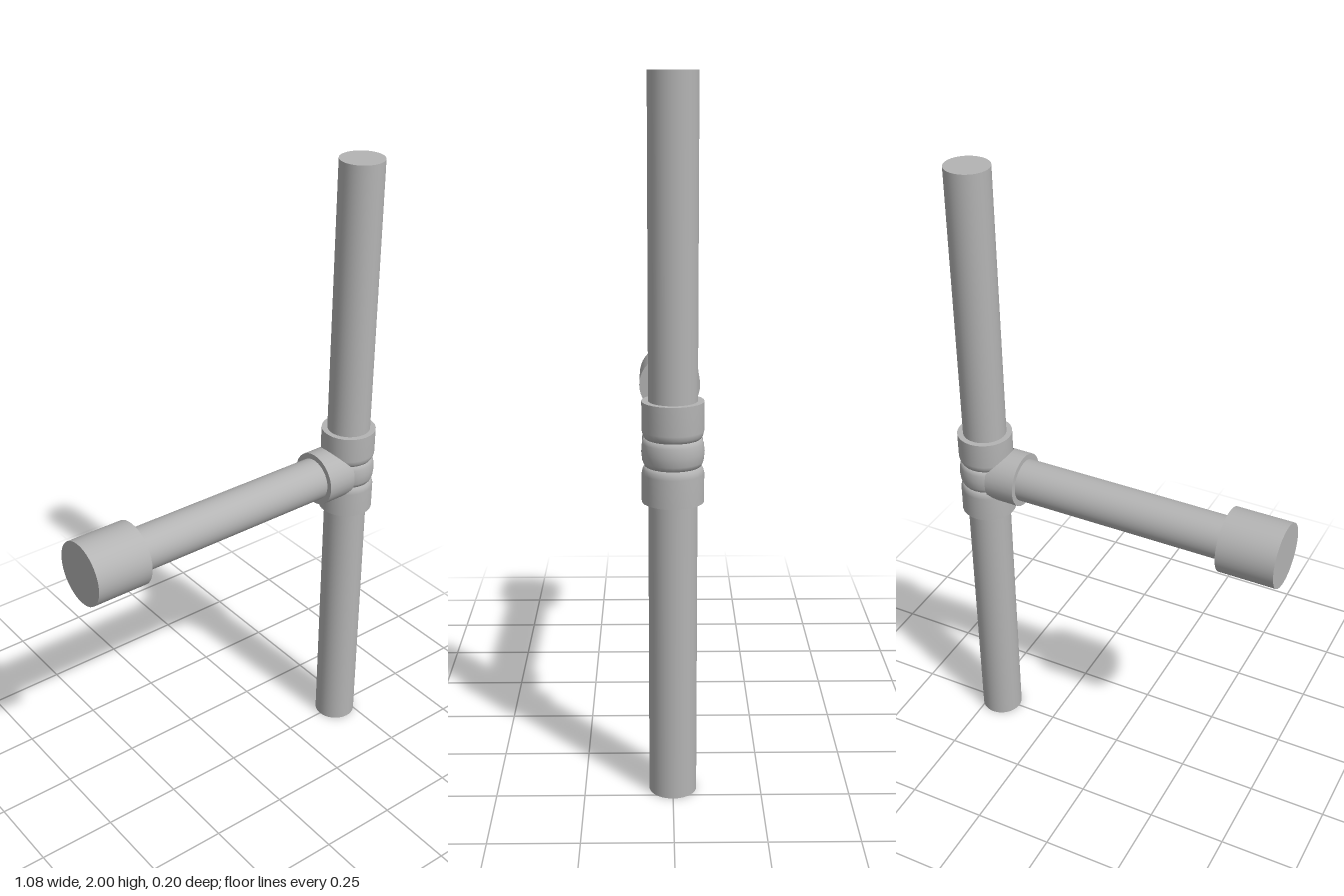
import * as THREE from 'three';

const POST_X = 0.453;

export function createModel() {
  const model = new THREE.Group();
  const grey = new THREE.MeshStandardMaterial({ color: 0xb4b4b4 });
  grey.name = 'grey plastic';

  const add = (name, geometry, x, y) => {
    const mesh = new THREE.Mesh(geometry, grey);
    mesh.name = name;
    mesh.position.set(x, y, 0);
    model.add(mesh);
    return mesh;
  };
  // Horizontal cylinder from x0 to x1
  const rod = (name, r, x0, x1, sides) =>
    add(name, new THREE.CylinderGeometry(r, r, x1 - x0, sides, 1).rotateZ(-Math.PI / 2), (x0 + x1) / 2, 1);
  // Turned part; repeated points keep an edge sharp
  const turned = (points) => new THREE.LatheGeometry(points.map((p) => new THREE.Vector2(...p)), 28);

  // Upright and side pipes
  add('uprightPipe', new THREE.CylinderGeometry(0.067, 0.067, 2, 40), POST_X, 1);
  rod('sidePipe', 0.067, -0.4, 0.36, 40);
  rod('endCap', 0.1, -0.545, -0.365, 40);

  // Socket collars above and below the joint, rounded towards its middle
  const collar = turned([
    [0.06, -0.14], [0.085, -0.14], [0.085, -0.14],
    [0.085, -0.06], [0.082, -0.047], [0.076, -0.038], [0.06, -0.036],
  ]);
  add('lowerCollar', collar, POST_X, 1);
  add('upperCollar', collar, POST_X, 1).rotation.z = Math.PI;

  // Bulging band in the middle of the joint
  add('jointBand', turned([
    [0.06, -0.04], [0.077, -0.038], [0.083, -0.025], [0.086, 0],
    [0.083, 0.025], [0.077, 0.038], [0.06, 0.04],
  ]), POST_X, 1);

  // Side socket, mitred where it meets the collars
  const socket = rod('sideSocket', 0.085, 0.315, 0.412, 28);
  const pos = socket.geometry.attributes.position;
  for (let i = 0; i < pos.count; i++) {
    if (pos.getX(i) > 0) {
      pos.setX(i, pos.getX(i) - Math.max(0, Math.abs(pos.getY(i)) - 0.038));
    }
  }
  return model;
}
